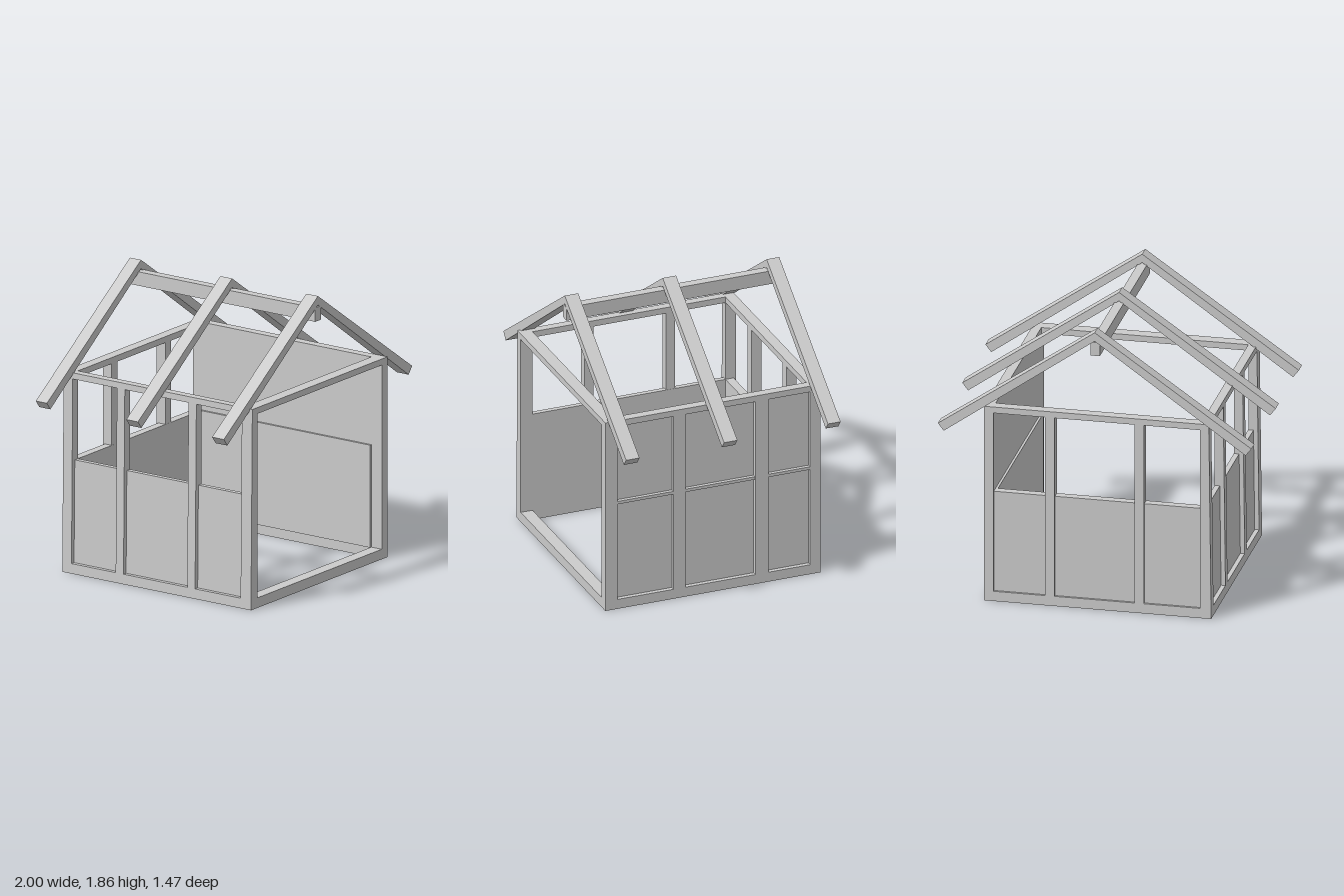
import * as THREE from 'three';

const grey = new THREE.MeshStandardMaterial({ color: 0xcccccc, flatShading: true });

// Outer and inner faces of the timber frame
const X0 = -0.74, X0i = -0.67, X1 = 0.71, X1i = 0.65;
const Z0 = -0.72, Z0i = -0.65, Z1 = 0.73, Z1i = 0.65;
const BASE = 0.065, EAVE = 1.26, TOP = 1.3, SILL = 0.73;

// Box between two corners; the outermost -x face leans slightly inwards
function block(parent, name, x, y, z) {
  const g = new THREE.BoxGeometry(x[1] - x[0], y[1] - y[0], z[1] - z[0]);
  g.translate((x[0] + x[1]) / 2, (y[0] + y[1]) / 2, (z[0] + z[1]) / 2);
  const p = g.attributes.position;
  for (let i = 0; i < p.count; i++) {
    if (p.getX(i) < -0.7) p.setX(i, p.getX(i) + 0.015 * p.getY(i) / TOP);
  }
  g.computeVertexNormals();
  const m = new THREE.Mesh(g, grey);
  m.name = name;
  parent.add(m);
}

function section(parent, name) {
  const g = new THREE.Group();
  g.name = name;
  parent.add(g);
  return g;
}

export function createModel() {
  const model = new THREE.Group();
  model.name = 'timberShed';

  // Corner posts with base and top beams between them
  const frame = section(model, 'frame');
  for (const x of [[X0, X0i], [X1i, X1]]) {
    for (const z of [[Z0, Z0i], [Z1i, Z1]]) block(frame, 'cornerPost', x, [0, TOP], z);
    block(frame, 'sideBaseBeam', x, [0, BASE], [Z0i, Z1i]);
    block(frame, 'sideTopBeam', x, [EAVE, TOP], [Z0i, Z1i]);
  }
  for (const z of [[Z0, Z0i], [Z1i, Z1]]) {
    block(frame, 'crossBaseBeam', [X0i, X1i], [0, BASE], z);
    block(frame, 'crossTopBeam', [X0i, X1i], [EAVE, TOP], z);
  }

  // Half-height back wall with window studs
  const back = section(model, 'backWall');
  block(back, 'backPanel', [X0i, X1i], [BASE, SILL], [Z0 + 0.015, Z0i]);
  for (const x of [[-0.31, -0.25], [0.26, 0.32]]) block(back, 'backStud', x, [BASE, EAVE], [Z0, Z0i - 0.001]);

  // Half-height right wall with window studs
  const right = section(model, 'rightWall');
  block(right, 'rightPanel', [X0 + 0.028, X0i], [BASE, SILL], [Z0i, Z1i]);
  for (const z of [[-0.31, -0.25], [0.24, 0.3]]) block(right, 'rightStud', [X0, X0i - 0.001], [BASE, EAVE], z);

  // Fully panelled left wall, lower panel a little thicker inside
  const left = section(model, 'leftWall');
  block(left, 'lowerPanel', [0.635, 0.68], [BASE, SILL], [Z0i, Z1i]);
  block(left, 'upperPanel', [X1i, 0.68], [SILL, EAVE], [Z0i, Z1i]);
  block(left, 'middleRail', [0.67, 0.705], [0.72, 0.74], [Z0i, Z1i]);
  for (const z of [[-0.37, -0.28], [0.19, 0.27]]) block(left, 'leftStud', [0.66, X1], [BASE, EAVE], z);

  // Roof: ridge beam and three mirrored rafter pairs
  const roof = section(model, 'roof');
  block(roof, 'ridgeBeam', [-0.03, 0.03], [1.7, 1.79], [-0.72, 0.71]);
  for (const [z, depth] of [[0.62, 0.09], [-0.04, 0.09], [-0.735, 0.085]]) {
    const pair = section(roof, 'rafterPair');
    for (const s of [1, -1]) {
      const shape = new THREE.Shape([[0, 1.86], [0, 1.803], [s * 0.963, 1.12], [s, 1.168]]
        .map(([x, y]) => new THREE.Vector2(x, y)));
      const g = new THREE.ExtrudeGeometry(shape, { depth, bevelEnabled: false });
      g.translate(0, 0, z);
      const rafter = new THREE.Mesh(g, grey);
      rafter.name = s > 0 ? 'leftRafter' : 'rightRafter';
      pair.add(rafter);
    }
  }
  return model;
}
